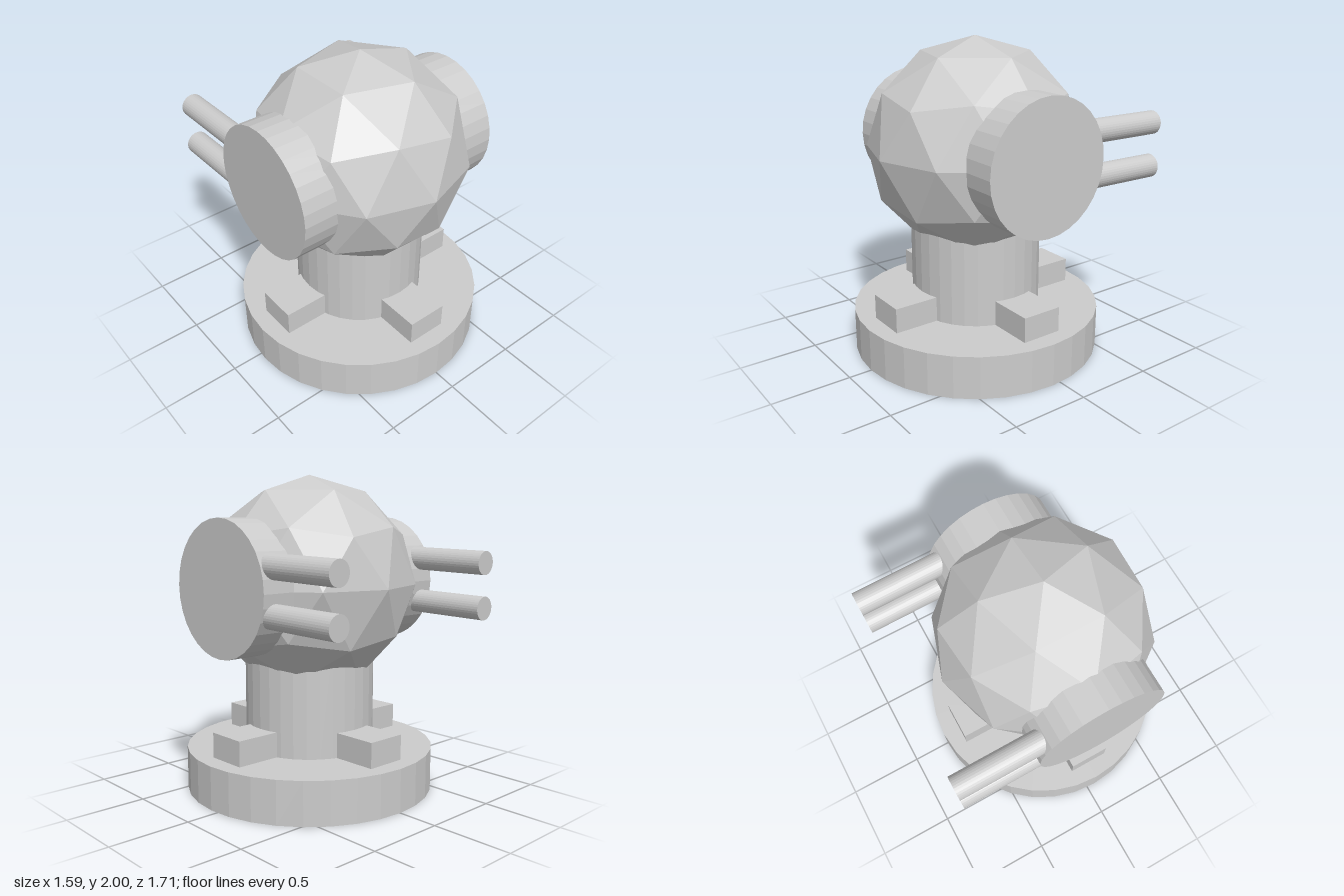
import * as THREE from 'three';

const material = new THREE.MeshStandardMaterial({ color: 0xcccccc, flatShading: true });
const CENTRE_Z = 0.055;
const HEAD_Y = 1.32;

function add(parent, name, geometry, x = 0, y = 0, z = 0) {
  const mesh = new THREE.Mesh(geometry, material);
  mesh.name = name;
  mesh.position.set(x, y, z);
  parent.add(mesh);
  return mesh;
}

const cylinder = (radius, length) => new THREE.CylinderGeometry(radius, radius, length, 32);

export function createModel() {
  const model = new THREE.Group();
  model.name = 'turret';

  // Round base and the column that carries the head
  const body = new THREE.Group();
  body.name = 'body';
  body.position.z = CENTRE_Z;
  model.add(body);
  add(body, 'base', cylinder(0.797, 0.272), 0, 0.136);
  add(body, 'column', cylinder(0.415, 0.75), 0, 0.6);

  // Four blocks bracing the column
  for (let i = 0; i < 4; i++) {
    const angle = (i * Math.PI) / 2;
    const block = add(body, 'baseBlock', new THREE.BoxGeometry(0.262, 0.18, 0.38),
      Math.sin(angle) * 0.49, 0.34, Math.cos(angle) * 0.49);
    block.rotation.y = angle;
  }

  // Faceted head, turned so that one vertex points straight up
  const ball = new THREE.IcosahedronGeometry(0.68, 1);
  ball.rotateZ(-Math.atan(2 / (1 + Math.sqrt(5))));
  add(body, 'head', ball, 0, HEAD_Y);

  // Side drums, each with a pair of barrels pointing backwards
  for (const side of [1, -1]) {
    const name = side > 0 ? 'left' : 'right';
    const drum = cylinder(0.415, 0.32).rotateZ(Math.PI / 2);
    add(body, name + 'Drum', drum, side * 0.553, HEAD_Y);

    for (const y of [1.465, 1.186]) {
      const barrel = cylinder(0.074, 0.65).rotateX(Math.PI / 2);
      const mesh = add(model, name + 'Barrel', barrel, side * 0.626, y, -0.529);
      mesh.rotation.x = 0.018;
      mesh.rotation.x *= -1; // rear end dips slightly
    }
  }
  return model;
}
